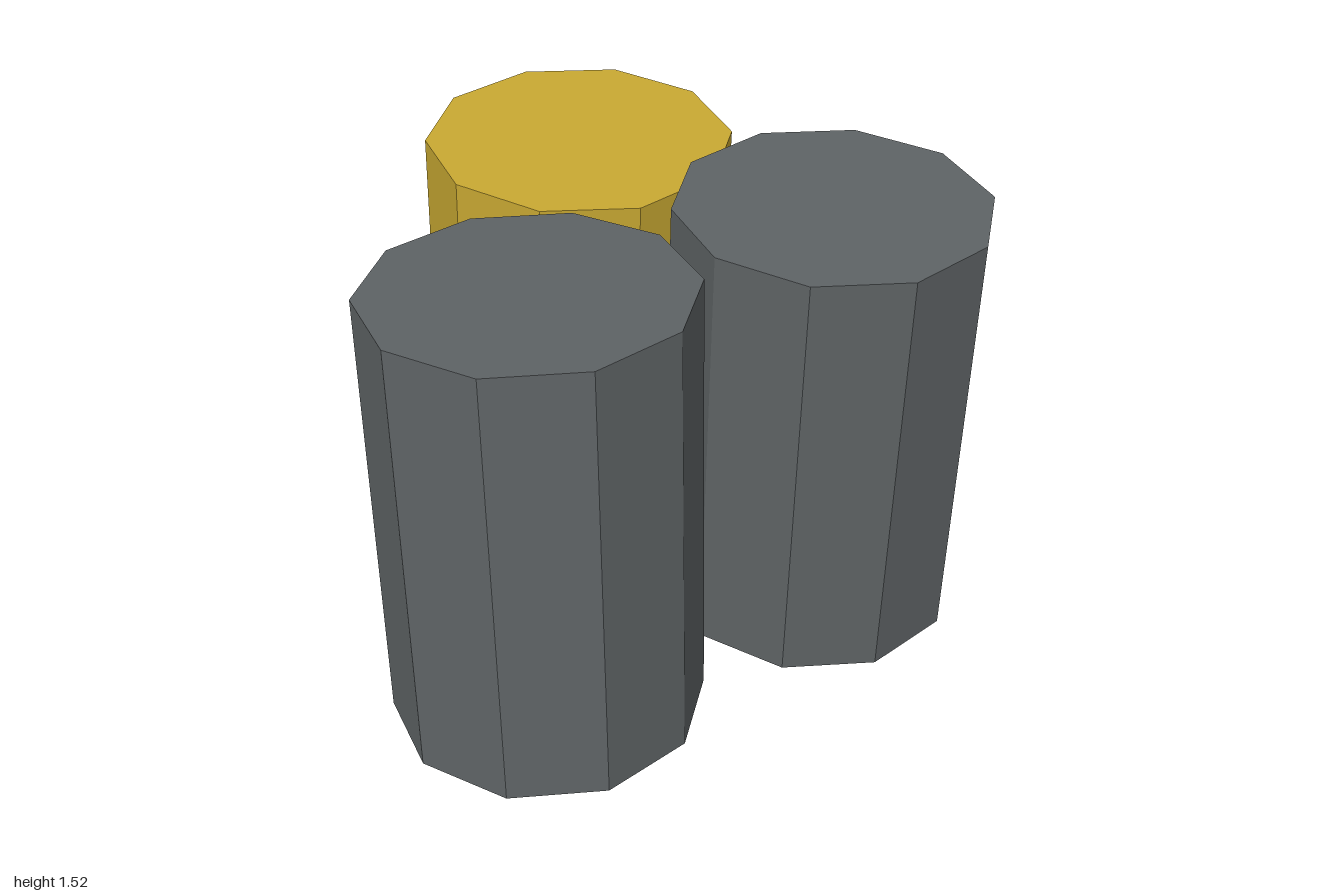
import * as THREE from 'three';

export function createModel() {
  const group = new THREE.Group();

  const darkGrey = new THREE.MeshStandardMaterial({ color: 0x5e6365, flatShading: true });
  darkGrey.name = 'darkGrey';
  const mustard = new THREE.MeshStandardMaterial({ color: 0xc8a832, flatShading: true });
  mustard.name = 'mustard';

  // Ten-sided drum shared by all three, each leaning slightly about x
  const drum = new THREE.CylinderGeometry(0.503, 0.503, 1.475, 10);
  const addDrum = (name, material, x, y, z, leanDegrees) => {
    const mesh = new THREE.Mesh(drum, material);
    mesh.name = name;
    mesh.position.set(x, y, z);
    mesh.rotation.x = THREE.MathUtils.degToRad(leanDegrees);
    group.add(mesh);
  };

  addDrum('backDrum', mustard, -0.02, 0.765, -0.462, 2.5);
  addDrum('rightDrum', darkGrey, -0.523, 0.765, 0.463, -2.5);
  addDrum('leftDrum', darkGrey, 0.522, 0.764, 0.294, 1.5);

  return group;
}
